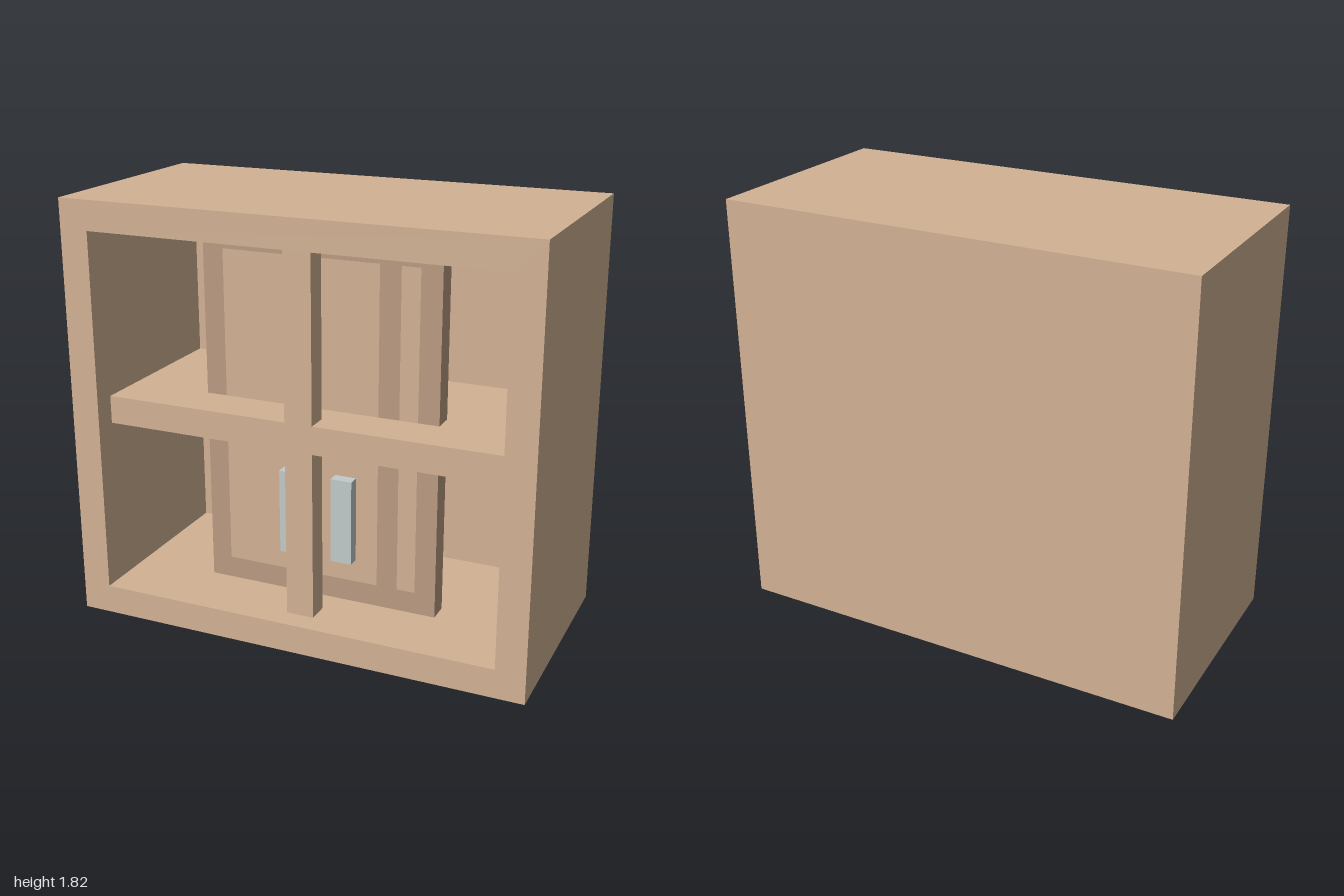
import * as THREE from 'three';

const wood = new THREE.MeshStandardMaterial({ color: 0xd2b294 });
const darkWood = new THREE.MeshStandardMaterial({ color: 0xba9b82 });
const metal = new THREE.MeshStandardMaterial({ color: 0xc2caca });

// Box given by its min and max on each axis
function block(name, [x0, x1], [y0, y1], [z0, z1], material) {
  const mesh = new THREE.Mesh(new THREE.BoxGeometry(x1 - x0, y1 - y0, z1 - z0), material);
  mesh.position.set((x0 + x1) / 2, (y0 + y1) / 2, (z0 + z1) / 2);
  mesh.name = name;
  return mesh;
}

function trace(path, [x0, x1], [y0, y1]) {
  path.moveTo(x0, y0);
  path.lineTo(x1, y0);
  path.lineTo(x1, y1);
  path.lineTo(x0, y1);
  path.closePath();
  return path;
}

// Rectangular frame with rectangular openings, extruded from z0 to z1
function frame(name, xs, ys, openings, [z0, z1], material) {
  const shape = trace(new THREE.Shape(), xs, ys);
  for (const [ox, oy] of openings) shape.holes.push(trace(new THREE.Path(), ox, oy));
  const geometry = new THREE.ExtrudeGeometry(shape, { depth: z1 - z0, bevelEnabled: false });
  geometry.translate(0, 0, z0);
  const mesh = new THREE.Mesh(geometry, material);
  mesh.name = name;
  return mesh;
}

export function createModel() {
  const cabinet = new THREE.Group();
  cabinet.name = 'cabinet';

  const inX = [-0.875, 0.875], inY = [0.125, 1.69];
  const front = 0.49, inset = 0.395, backInner = -0.37;

  // Carcass: outer walls and back
  cabinet.add(frame('carcass', [-1, 1], [0, 1.815], [[inX, inY]], [backInner, front], wood));
  cabinet.add(block('backBoard', [-1, 1], [0, 1.815], [-0.49, backInner], wood));

  // Full-depth shelf and the slim upright crossing it at the front
  const shelfY = [0.85, 0.97];
  cabinet.add(block('shelf', inX, shelfY, [backInner, inset], wood));
  cabinet.add(block('lowerUpright', [-0.06, 0.06], [inY[0], shelfY[0]], [0.3, inset], wood));
  cabinet.add(block('upperUpright', [-0.06, 0.06], [shelfY[1], inY[1]], [0.3, inset], wood));

  // Recessed inner panel: darker frame with lighter infill boards
  const panelZ = [0.1, 0.19], infillY = [0.22, 1.6];
  const infills = [[-0.43, 0.26], [0.35, 0.43]];
  cabinet.add(frame('panelFrame', [-0.52, 0.52], inY, infills.map((x) => [x, infillY]), panelZ, darkWood));
  for (const x of infills) cabinet.add(block('panelInfill', x, infillY, panelZ, wood));

  // Handles on the panel, mirrored
  for (const side of [-1, 1]) {
    const c = side * 0.117;
    const name = side > 0 ? 'leftHandle' : 'rightHandle';
    cabinet.add(block(name, [c - 0.047, c + 0.047], [0.32, 0.69], [0.19, 0.24], metal));
  }
  return cabinet;
}
